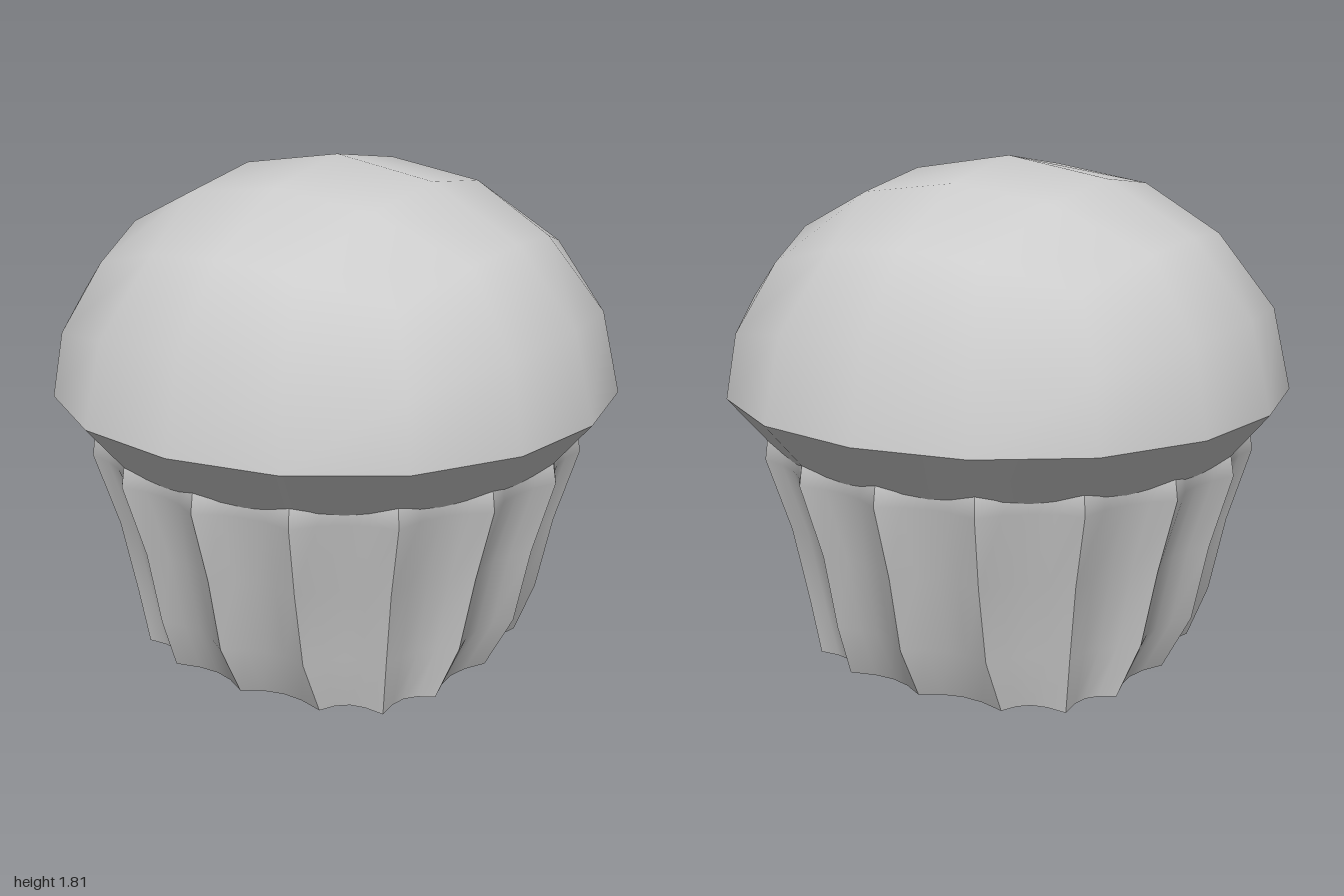
import * as THREE from 'three';
import { mergeVertices } from 'three/addons/utils/BufferGeometryUtils.js';

const PLEATS = 16, STEPS = 4;

// Wrapper rows, bottom to top: height, ridge radius, squareness, angle shift, pleat depth
const ROWS = [
  { y: 0.015, r: 0.635, k: 0.13, s: 0.083, d: 0.045 },
  { y: 0.22, r: 0.742, k: 0.015, s: 0.02, d: 0.045 },
  { y: 0.5, r: 0.8, k: 0.01, s: 0, d: 0.045 },
  { y: 0.77, r: 0.88, k: 0.015, s: 0, d: 0.04 },
  { y: 0.84, r: 0.868, k: 0.018, s: 0, d: 0.03 },
];

const bulge = (angle, k) => 1 + k * Math.sin(2 * angle) ** 2;

// Tip of one pleat ridge on a row
function ridge(row, i) {
  const a = (i / PLEATS) * Math.PI * 2;
  const r = row.r * bulge(a, row.k), b = a + row.s * Math.sin(4 * a);
  return new THREE.Vector3(r * Math.sin(b), row.y, r * Math.cos(b));
}

// Point across pleat i, curving inwards between its two ridges
function pleatPoint(row, i, t) {
  const p = ridge(row, i).lerp(ridge(row, i + 1), t);
  const f = 1 - (row.d * (1 - (2 * t - 1) ** 2)) / row.r;
  return p.set(p.x * f, p.y, p.z * f);
}

function build(points, index) {
  const g = new THREE.BufferGeometry().setFromPoints(points);
  g.setIndex(index);
  g.computeVertexNormals();
  return g;
}

// Pleats share no vertices, so the ridges stay sharp
function wrapperGeometry() {
  const points = [], index = [], w = STEPS + 1;
  for (let i = 0; i < PLEATS; i++) {
    const start = points.length;
    ROWS.forEach((row, j) => {
      for (let n = 0; n <= STEPS; n++) {
        points.push(pleatPoint(row, i, n / STEPS));
        if (j && n) {
          const d = start + j * w + n, c = d - 1, b = d - w, a = b - 1;
          index.push(a, b, d, a, d, c);
        }
      }
    });
  }
  return build(points, index);
}

// Scalloped floor: outer ring, inner ring and centre
function baseGeometry() {
  const n = PLEATS * STEPS, outer = [], index = [];
  for (let i = 0; i < n; i++) {
    outer.push(pleatPoint(ROWS[0], Math.floor(i / STEPS), (i % STEPS) / STEPS));
    const j = (i + 1) % n;
    index.push(i, n + j, j, i, n + i, n + j, n + i, 2 * n, n + j);
  }
  const inner = outer.map((p) => new THREE.Vector3(p.x * 0.8, 0, p.z * 0.8));
  return build([...outer, ...inner, new THREE.Vector3()], index);
}

// Rounded half box with an open bottom
function domeGeometry() {
  const box = new THREE.BoxGeometry(2, 1, 2, 4, 2, 4).translate(0, 0.5, 0);
  const floor = box.groups[3];
  const kept = Array.from(box.index.array)
    .filter((_, i) => i < floor.start || i >= floor.start + floor.count);
  box.setIndex(kept);
  box.clearGroups();
  box.deleteAttribute('normal');
  box.deleteAttribute('uv');
  const p = box.attributes.position, v = new THREE.Vector3();
  const warp = (c) => Math.tan((c * Math.PI) / 4);
  for (let i = 0; i < p.count; i++) {
    v.fromBufferAttribute(p, i);
    v.set(warp(v.x), warp(v.y), warp(v.z)).normalize();
    const f = bulge(Math.atan2(v.x, v.z), 0.018);
    p.setXYZ(i, v.x * f, 1 + v.y * 0.814, v.z * f);
  }
  const g = mergeVertices(box.toNonIndexed(), 1e-4);
  g.computeVertexNormals();
  return g;
}

// Sloping underside between the rim and the wrapper
function undersideGeometry() {
  const g = new THREE.LatheGeometry(
    [new THREE.Vector2(0.8, 0.757), new THREE.Vector2(1, 1)], PLEATS);
  const p = g.attributes.position;
  for (let i = 0; i < p.count; i++) {
    const x = p.getX(i), z = p.getZ(i), f = bulge(Math.atan2(x, z), 0.018);
    p.setXYZ(i, x * f, p.getY(i), z * f);
  }
  return g;
}

export function createModel() {
  const group = new THREE.Group();
  group.name = 'cupcake';
  const grey = new THREE.MeshStandardMaterial({ color: 0xcccccc });
  grey.name = 'light grey';
  const parts = {
    cakeDome: domeGeometry(),
    cakeUnderside: undersideGeometry(),
    pleatedWrapper: wrapperGeometry(),
    wrapperBase: baseGeometry(),
  };
  for (const [name, geometry] of Object.entries(parts)) {
    const mesh = new THREE.Mesh(geometry, grey);
    mesh.name = name;
    group.add(mesh);
  }
  return group;
}
